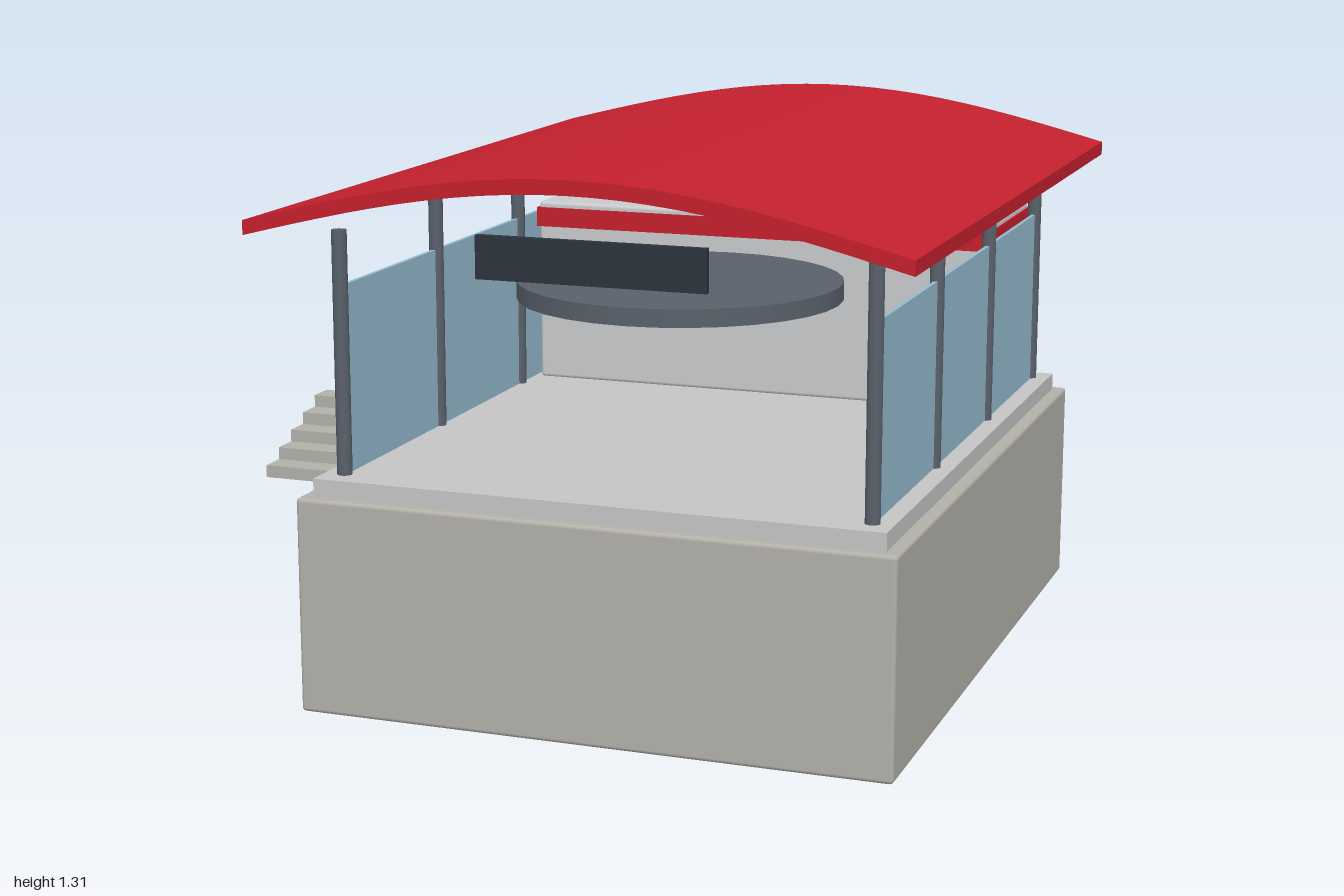
import * as THREE from 'three';
import { RoundedBoxGeometry } from 'three/addons/geometries/RoundedBoxGeometry.js';

const material = (name, color, side = THREE.FrontSide) => {
  const m = new THREE.MeshStandardMaterial({ color, side });
  m.name = name;
  return m;
};

export function createModel() {
  const group = new THREE.Group();
  const red = material('red', 0xc4202e);
  const concrete = material('concrete', 0xb2b0a9);
  const paleGrey = material('paleGrey', 0xc9cacc);
  const slab = material('slabGrey', 0xc4c5c4);
  const steel = material('steel', 0x59616b);
  const dark = material('dark', 0x2c343c);
  const glass = material('glass', 0x94b9ce);
  const CX = 0.145; // centre line of the building

  const add = (name, geometry, mat, x = 0, y = 0, z = 0) => {
    const mesh = new THREE.Mesh(geometry, mat);
    mesh.name = name;
    mesh.position.set(x, y, z);
    group.add(mesh);
    return mesh;
  };
  // Box given by its limits, with optional rounded edges
  const box = (name, mat, [x0, x1], [y0, y1], [z0, z1], r = 0) => {
    const size = [x1 - x0, y1 - y0, z1 - z0];
    const g = r ? new RoundedBoxGeometry(...size, 2, r) : new THREE.BoxGeometry(...size);
    return add(name, g, mat, (x0 + x1) / 2, (y0 + y1) / 2, (z0 + z1) / 2);
  };

  // Foundation and floor
  box('foundation', concrete, [-0.575, 0.865], [0, 0.52], [-0.89, 0.89], 0.01);
  box('floorSlab', slab, [-0.543, 0.833], [0.515, 0.562], [-0.86, 0.86]);

  // Steps on the right side, descending towards the front
  for (let i = 0; i < 5; i++) {
    const z = 0.03 + i * 0.069;
    box('step', concrete, [-0.925, -0.57], [0.415, 0.57 - i * 0.031], [z, z + 0.069]);
  }

  // Posts and glass screens on both sides
  for (const s of [-1, 1]) {
    const x = CX + s * 0.638;
    for (const z of [0.795, 0.262, -0.262, -0.795]) {
      add('post', new THREE.CylinderGeometry(0.018, 0.018, 0.58, 12), steel, x, 0.85, z);
    }
    box('glassScreen', glass, [x - 0.005, x + 0.005], [0.56, 1.01], [-0.795, 0.795]);
  }

  // Back room with its painted band
  box('backRoom', paleGrey, [-0.472, 0.762], [0.56, 1.042], [-0.805, -0.36], 0.01);
  box('roomBand', red, [-0.477, 0.767], [0.975, 1.026], [-0.812, -0.354]);

  // Horizontal wheel on its hub
  add('wheel', new THREE.CylinderGeometry(0.395, 0.395, 0.043, 32), steel, CX, 0.951, 0.25);
  add('wheelHub', new THREE.CylinderGeometry(0.043, 0.043, 0.155, 16), dark, CX, 0.937, 0.25);

  // Blank sign board at the entrance
  box('signBoard', dark, [-0.128, 0.418], [1.057, 1.157], [0.838, 0.854]);

  // Arched roof: a curved strip of even height, extruded front to back
  const N = 24, half = 0.775;
  const top = [], bottom = [];
  for (let i = 0; i <= N; i++) {
    const u = (i / N) * 2 - 1;
    const y = 1.185 + 0.128 * Math.cos(u * Math.PI / 2);
    top.push(new THREE.Vector2(CX + u * half, y));
    bottom.push(new THREE.Vector2(CX + u * half, y - 0.034));
  }
  const profile = new THREE.Shape([...bottom, ...top.reverse()]);
  add('roof', new THREE.ExtrudeGeometry(profile, { depth: 2, bevelEnabled: false }), red, 0, 0, -1);

  return group;
}
